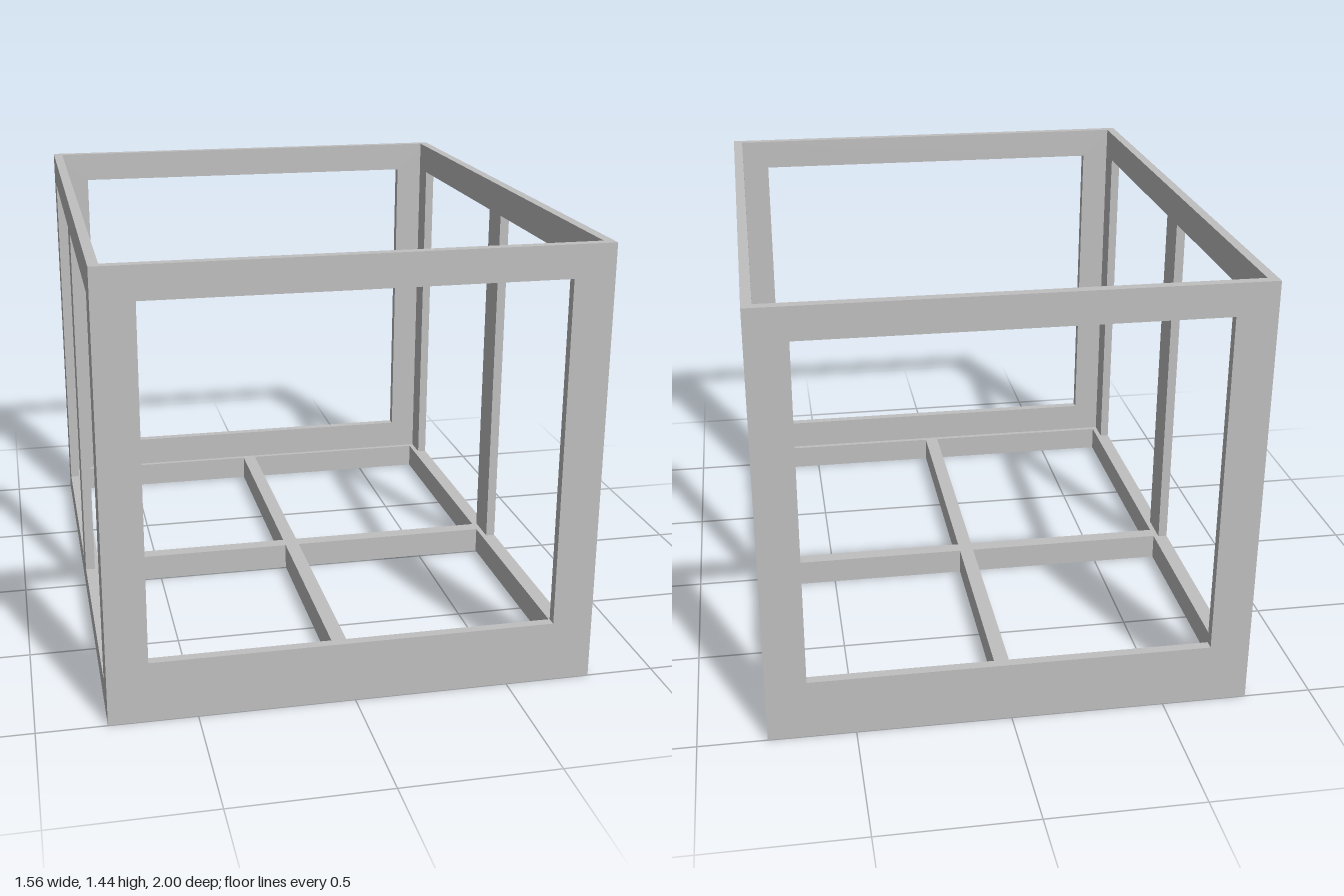
import * as THREE from 'three';

const W = 0.78, D = 1, H = 1.44; // half width, half depth, height
const T = 0.032;                 // wall thickness
const RAIL = 0.09;               // height of the floor beams
const INX = 0.73, INZ = 0.95;    // inner edges of the floor ring

// Rectangular outline as a list of points
function rect(x0, y0, x1, y1) {
  return [[x0, y0], [x1, y0], [x1, y1], [x0, y1]].map(([x, y]) => new THREE.Vector2(x, y));
}

// Flat panel with rectangular openings, centred on its thickness
function panelGeometry(halfWidth, openings) {
  const shape = new THREE.Shape(rect(-halfWidth, 0, halfWidth, H));
  for (const o of openings) shape.holes.push(new THREE.Path(rect(...o).reverse()));
  const geometry = new THREE.ExtrudeGeometry(shape, { depth: T, bevelEnabled: false });
  return geometry.translate(0, 0, -T / 2);
}

export function createModel() {
  const group = new THREE.Group();
  group.name = 'openFrame';
  const steel = new THREE.MeshStandardMaterial({ color: 0xc0c0c0 });
  steel.name = 'lightGrey';

  const add = (name, geometry, x, y, z) => {
    const mesh = new THREE.Mesh(geometry, steel);
    mesh.name = name;
    mesh.position.set(x, y, z);
    group.add(mesh);
    return mesh;
  };
  const beam = (name, x0, x1, z0, z1) =>
    add(name, new THREE.BoxGeometry(x1 - x0, RAIL, z1 - z0), (x0 + x1) / 2, RAIL / 2, (z0 + z1) / 2);

  // Front and back frames with a deep bottom rail
  const endGeometry = panelGeometry(W, [[-0.65, 0.2, 0.65, 1.335]]);
  add('frontFrame', endGeometry, 0, 0, D - T / 2);
  add('backFrame', endGeometry, 0, 0, -D + T / 2);

  // Side frames with a middle post
  const sideGeometry = panelGeometry(D - T, [
    [-0.875, RAIL, -0.06, 1.335],
    [0.06, RAIL, 0.875, 1.335],
  ]);
  for (const [name, s] of [['leftFrame', 1], ['rightFrame', -1]]) {
    add(name, sideGeometry, s * (W - T / 2), 0, 0).rotation.y = Math.PI / 2;
  }

  // Floor ring inside the walls
  beam('floorRailFront', -W + T, W - T, INZ, D - T);
  beam('floorRailBack', -W + T, W - T, -D + T, -INZ);
  beam('floorRailLeft', INX, W - T, -INZ, INZ);
  beam('floorRailRight', -W + T, -INX, -INZ, INZ);

  // Crossing floor beams
  beam('floorBeamLong', -0.025, 0.025, -INZ, INZ);
  beam('floorBeamCrossLeft', 0.025, INX, -0.055, -0.005);
  beam('floorBeamCrossRight', -INX, -0.025, -0.055, -0.005);

  return group;
}
